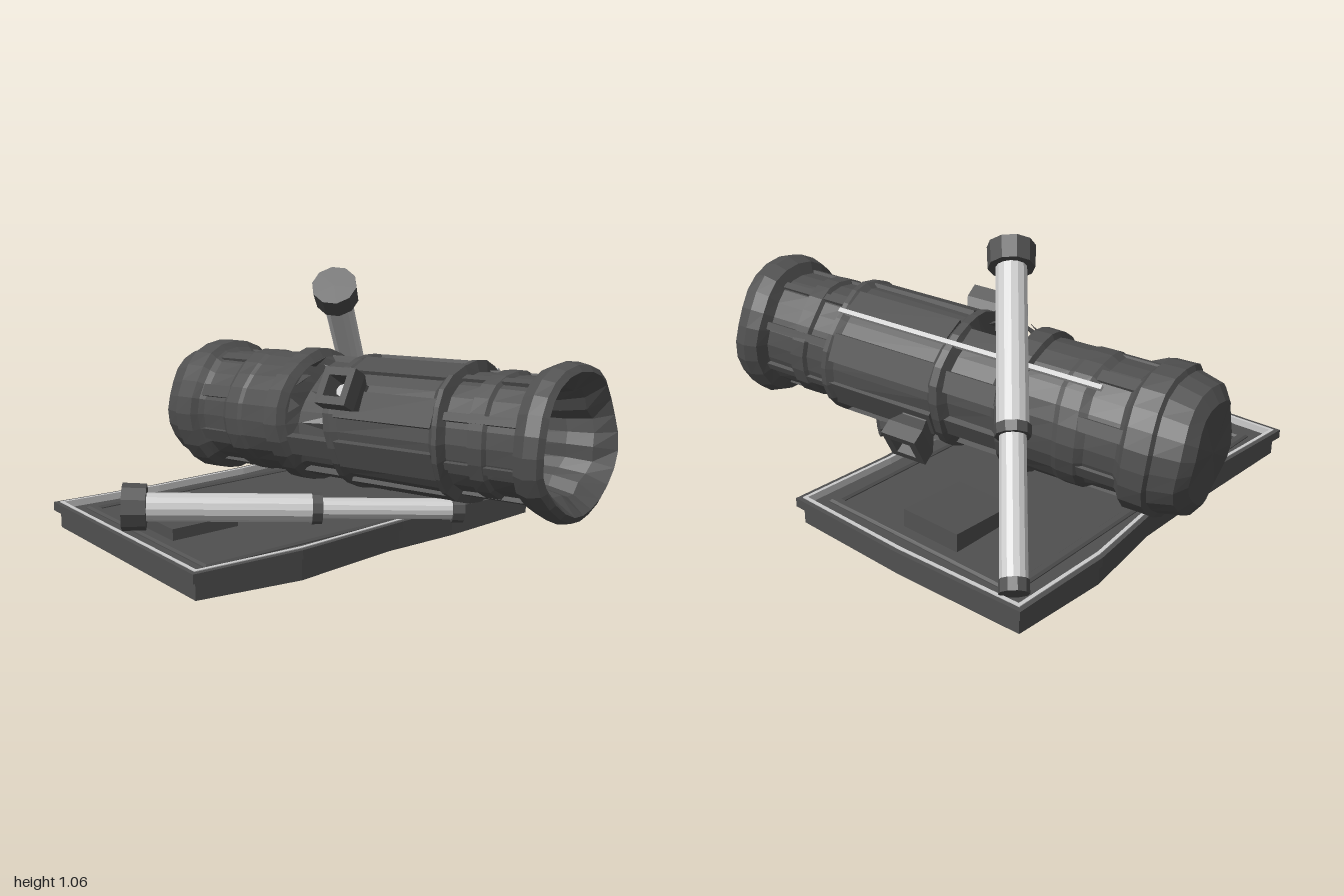
import * as THREE from 'three';

const DARK = 0x505050;
const mat = (color) => new THREE.MeshStandardMaterial({ color, flatShading: true, side: THREE.DoubleSide });

export function createModel() {
  const model = new THREE.Group();
  const dark = mat(DARK), light = mat(0xcccccc);

  const add = (parent, name, geo, material, x = 0, y = 0, z = 0) => {
    const mesh = new THREE.Mesh(geo, material);
    mesh.name = name;
    mesh.position.set(x, y, z);
    parent.add(mesh);
    return mesh;
  };

  // ---- Base plate: warped outline, inset by d about its centre ----
  const base = new THREE.Group();
  base.name = 'base';
  model.add(base);
  const outline = [[-0.84, 0.53], [-0.4, 0.56], [0.1, 0.53], [0.4, 0.52], [0.83, 0.53],
    [0.84, 0], [0.82, -0.55], [0.4, -0.56], [0.05, -0.52], [-0.4, -0.51], [-0.84, -0.54]];
  const inset = (d) => outline.map(([x, z]) =>
    new THREE.Vector2(x * (1 - d / 0.84), -z * (1 - d / 0.54)));
  const rect = (w, h) => [[-w, -h], [w, -h], [w, h], [-w, h]].map(([x, z]) => new THREE.Vector2(x, z));
  const slab = (name, outer, inner, y0, y1, material, bevel = 0) => {
    const shape = new THREE.Shape(outer);
    if (inner) shape.holes.push(new THREE.Path(inner));
    const geo = new THREE.ExtrudeGeometry(shape, { depth: y1 - y0 - bevel, bevelEnabled: bevel > 0,
      bevelThickness: bevel, bevelSize: bevel, bevelOffset: -bevel, bevelSegments: 1 });
    geo.rotateX(-Math.PI / 2);
    return add(base, name, geo, material, 0, y0, -0.24);
  };
  const block = slab('baseBlock', inset(0.02), null, 0, 0.1, dark);
  const bp = block.geometry.attributes.position;
  for (let i = 0; i < bp.count; i++) { // sagging underside
    if (bp.getY(i) < 0.01) bp.setY(i, 0.02 - 0.017 * Math.sin(Math.min(1, Math.abs(bp.getX(i)) / 0.8) * Math.PI));
  }
  block.geometry.computeVertexNormals();
  slab('baseLip', inset(0), inset(0.018), 0.09, 0.125, dark);
  slab('baseTrim', inset(0.018), inset(0.032), 0.09, 0.128, light);
  slab('baseInnerFrame', rect(0.74, 0.45), rect(0.7, 0.41), 0.098, 0.112, dark, 0.008);
  for (const [x, y, tilt] of [[-0.53, 0.11, 0], [0.53, 0.13, 0.04]]) {
    const pad = add(base, 'basePad', new THREE.BoxGeometry(0.29, 0.07, 0.26), dark, x, y, -0.25);
    pad.rotation.z = tilt;
  }

  // ---- Barrel: local z runs from breech to muzzle ----
  const barrel = new THREE.Group();
  barrel.name = 'barrel';
  barrel.position.set(0.163, 0.465, 0);
  barrel.lookAt(0.163 + 0.186, 0.465 + 0.057, 0.98);
  model.add(barrel);
  const profile = [[0, -0.97], [0.19, -0.965], [0.24, -0.93], [0.262, -0.84], [0.282, -0.83], [0.28, -0.74],
    [0.255, -0.72], [0.238, -0.7], [0.238, -0.58], [0.255, -0.55], [0.255, -0.48], [0.25, -0.46], [0.25, -0.32],
    [0.272, -0.31], [0.272, -0.24], [0.24, -0.22], [0.228, -0.2], [0.228, -0.02], [0.268, 0], [0.268, 0.03],
    [0.25, 0.05], [0.25, 0.48], [0.268, 0.505], [0.268, 0.525], [0.225, 0.535], [0.225, 0.63], [0.24, 0.64],
    [0.24, 0.7], [0.225, 0.71], [0.225, 0.83], [0.27, 0.85], [0.288, 0.9], [0.278, 0.95], [0.255, 0.965],
    [0.195, 0.9], [0.175, 0.8], [0.16, 0.4], [0.1, 0.35], [0, 0.35]];
  const tube = new THREE.LatheGeometry(profile.map(([r, s]) => new THREE.Vector2(r, s)), 24);
  tube.rotateX(Math.PI / 2);
  const p = tube.attributes.position;
  for (let i = 0; i < p.count; i++) { // dents, lobed bore and a torn waist on the upper left side
    const x = p.getX(i), y = p.getY(i), z = p.getZ(i), r = Math.hypot(x, y);
    if (r < 0.01) continue;
    const a = Math.atan2(y, x);
    const torn = r > 0.2 && z > -0.21 && z < -0.01 ? Math.max(0, Math.cos(a - 2.5) - 0.3) * 0.09 : 0;
    const lobes = r < 0.2 && z > 0 ? 0.06 * Math.sin(8 * a) : 0;
    const k = 1 + 0.012 * Math.sin(3 * a + z * 5) + 0.008 * Math.sin(7 * a + z * 9) + lobes - torn / r;
    p.setXYZ(i, x * k, y * k, z + 0.007 * Math.sin(4 * a + z * 3));
  }
  tube.computeVertexNormals();
  add(barrel, 'barrelTube', tube, dark);

  // Lengthwise ribs on the barrel sections
  const rib = (name, a, r, s0, s1, w, t, material) => {
    const m = add(barrel, name, new THREE.BoxGeometry(t, w, s1 - s0), material,
      Math.cos(a) * r, Math.sin(a) * r, (s0 + s1) / 2);
    m.rotation.z = a;
  };
  for (let i = 0; i < 8; i++) {
    const a = (i + 0.45) * Math.PI / 4;
    rib('frontRib', a, 0.248, 0.04, 0.5, 0.11, 0.022, dark);
    rib('neckRib', a, 0.225, 0.53, 0.84, 0.03, 0.025, dark);
    rib('rearRib', a, 0.238, -0.72, -0.55, 0.05, 0.02, dark);
    if (i !== 2 && i !== 3) rib('waistRib', a, 0.23, -0.24, 0, 0.08, 0.03, dark);
  }
  // Pale strip beside the upper right rib
  rib('paleStrip', 0.91, 0.262, -0.6, 0.52, 0.018, 0.018, light);

  // Torn shards around the open waist
  for (let i = 0; i < 6; i++) {
    const a = 1.85 + i * 0.24;
    const shard = add(barrel, 'tornShard', new THREE.ConeGeometry(0.055, 0.14 + 0.02 * (i % 3), 3), dark,
      Math.cos(a) * 0.235, Math.sin(a) * 0.235, i % 2 ? -0.03 : -0.2);
    shard.scale.z = 0.3;
    shard.rotation.set(i % 2 ? -1.1 : 1.1, 0, a - Math.PI / 2, 'ZXY');
  }

  // Trunnion sockets: square flared sleeves on a tilted cross axis
  for (const side of [-1, 1]) {
    const holder = new THREE.Group();
    holder.name = 'trunnionSocket';
    holder.position.z = 0.11;
    holder.rotation.z = -0.55 + (side < 0 ? Math.PI : 0);
    barrel.add(holder);
    const socket = new THREE.LatheGeometry([[0.08, 0.2], [0.075, 0.26], [0.105, 0.31], [0.105, 0.37], [0.06, 0.37],
      [0.05, 0.28], [0, 0.28]].map(([r, s]) => new THREE.Vector2(r, s)), 4);
    socket.rotateY(Math.PI / 4).rotateZ(-Math.PI / 2);
    add(holder, 'socketBody', socket, dark);
    add(holder, 'socketCore', new THREE.CylinderGeometry(0.025, 0.025, 0.05, 8).rotateZ(Math.PI / 2), light, 0.3);
  }

  // ---- Loose struts: foot, thin rod, collar, thick rod, capped head ----
  const strut = (name, foot, head, thin, thick) => {
    const a = new THREE.Vector3(...foot), d = new THREE.Vector3(...head).sub(a), len = d.length();
    const g = new THREE.Group();
    g.name = name;
    g.position.copy(a);
    g.quaternion.setFromUnitVectors(new THREE.Vector3(0, 1, 0), d.normalize());
    model.add(g);
    const piece = (n, r0, r1, y0, y1, sides, material) =>
      add(g, n, new THREE.CylinderGeometry(r1, r0, y1 - y0, sides), material, 0, (y0 + y1) / 2, 0);
    piece('strutFoot', 0.052, 0.052, 0, 0.045, 10, dark);
    piece('strutThinRod', thin, thin, 0.02, len * 0.43, 14, light);
    piece('strutCollar', thick + 0.006, thick + 0.008, len * 0.42, len * 0.45, 10, dark);
    piece('strutThickRod', thick, thick, len * 0.44, len - 0.08, 14, light);
    piece('strutHead', 0.087, 0.09, len - 0.09, len, 10, dark);
  };
  strut('leaningStrut', [0.78, 0.145, -0.73], [0.075, 1.0, -0.105], 0.048, 0.058);
  strut('fallenStrut', [0.28, 0.175, 0.43], [-0.8, 0.22, -0.27], 0.04, 0.054);

  return model;
}
